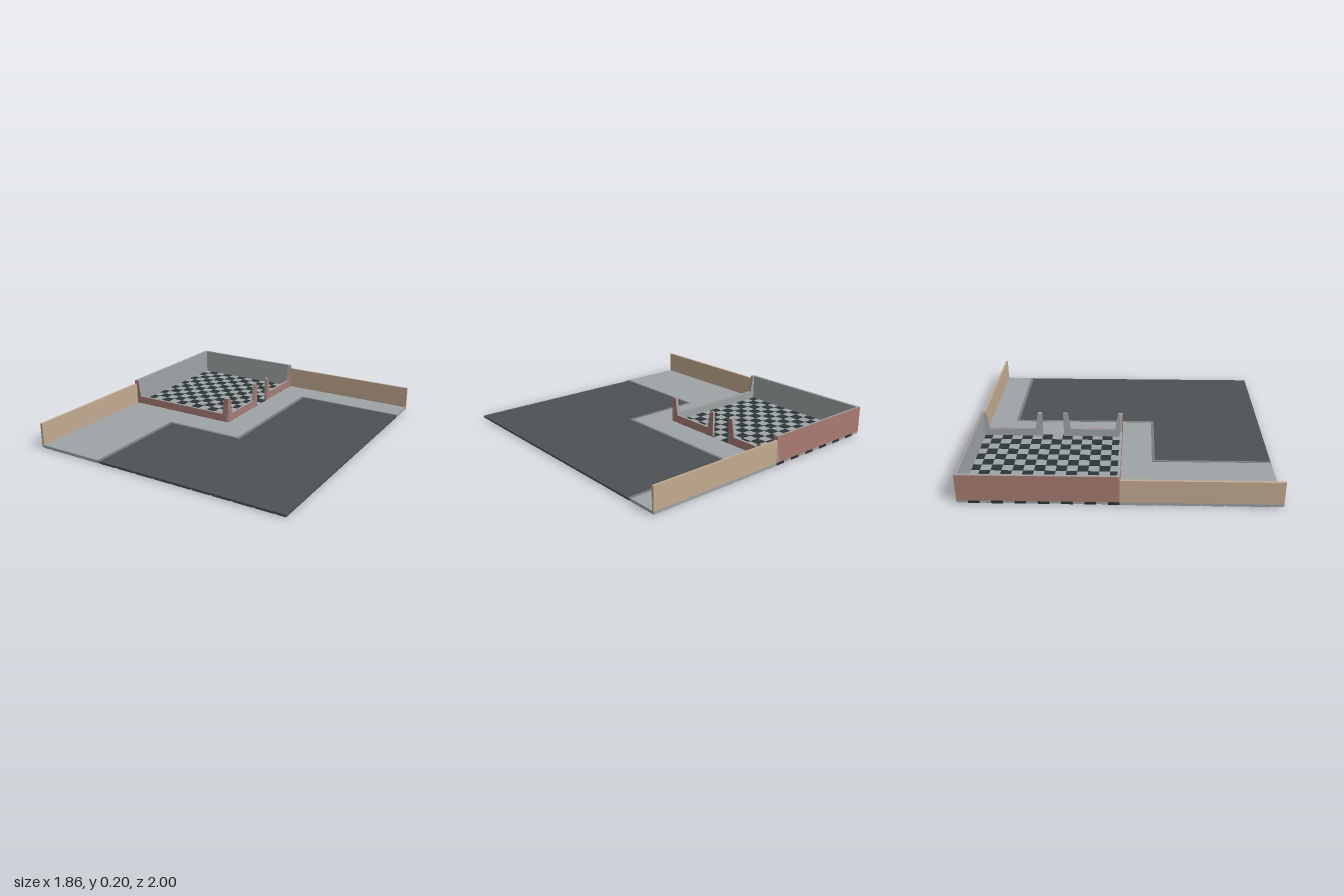
import * as THREE from 'three';

const CELL = 1 / 14, X0 = -13 / 14, Z0 = -1;
const cx = i => X0 + i * CELL, cz = j => Z0 + j * CELL;

const mat = (name, color) => {
  const m = new THREE.MeshStandardMaterial({ color });
  m.name = name;
  return m;
};

export function createModel() {
  const model = new THREE.Group();
  const grey = mat('pale grey', 0x9ea3a5);
  const kerbGrey = mat('kerb grey', 0x7a7e80);
  const roadGrey = mat('road grey', 0x4d5155);
  const dark = mat('dark tile', 0x2c3535);
  const brick = mat('dusty brick', 0xa87b73);
  const tan = mat('tan', 0xc3ab91);

  const add = (name, geo, material, parent = model) => {
    const m = new THREE.Mesh(geo, material);
    m.name = name;
    parent.add(m);
    return m;
  };
  // Box given by its two extreme corners
  const box = (name, x0, x1, y0, y1, z0, z1, material, parent) => {
    const m = add(name, new THREE.BoxGeometry(x1 - x0, y1 - y0, z1 - z0), material, parent);
    m.position.set((x0 + x1) / 2, (y0 + y1) / 2, (z0 + z1) / 2);
    return m;
  };
  // Box whose bottom is drawn in, for the underside tiles
  const taperedBox = (name, x0, x1, y0, y1, z0, z1, k, material, parent) => {
    const m = box(name, x0, x1, y0, y1, z0, z1, material, parent);
    const p = m.geometry.attributes.position;
    for (let i = 0; i < p.count; i++) {
      if (p.getY(i) < 0) p.setXYZ(i, p.getX(i) * k, p.getY(i), p.getZ(i) * k);
    }
    m.geometry.computeVertexNormals();
  };

  // Ground slabs: pavement, road and house floor
  const xE = 13 / 14, xa = cx(7), xb = cx(12), xc = cx(15), za = cz(3), zb = cz(17);
  const ground = new THREE.Group();
  ground.name = 'ground';
  model.add(ground);
  const P = 0.024, B = 0.008;
  box('pavementBack', xb, xE, B, P, -1, za, grey, ground);
  box('pavementMiddle', xb, xc, B, P, za, 0, grey, ground);
  box('pavementFront', X0, xc, B, P, 0, zb, grey, ground);
  box('pavementSide', X0, xa, B, P, zb, 1, grey, ground);
  box('roadBack', xc, xE, B, 0.02, za, zb, roadGrey, ground);
  box('roadFront', xa, xE, B, 0.02, zb, 1, roadGrey, ground);
  box('houseFloor', X0 + 0.002, xb, B, P, -0.998, 0, grey, ground);

  // Kerb strips along the edge of the road
  const k = 0.01, K = 0.0255;
  box('kerbBack', xc - k, xE, 0.012, K, za - k, za + k, kerbGrey);
  box('kerbMiddle', xc - k, xc + k, 0.012, K, za + k, zb + k, kerbGrey);
  box('kerbFront', xa - k, xc - k, 0.012, K, zb - k, zb + k, kerbGrey);
  box('kerbSide', xa - k, xa + k, 0.012, K, zb + k, 1, kerbGrey);

  // Underside tiles of pavement and road, two cells wide
  const tiles = new THREE.Group();
  tiles.name = 'undersideTiles';
  model.add(tiles);
  const steps = n => {
    const e = [0];
    for (let i = 1; i < n; i += 2) e.push(i);
    return [...e, n];
  };
  const ex = steps(26), ez = steps(28), g = 0.006;
  for (let i = 0; i < ex.length - 1; i++) {
    for (let j = 0; j < ez.length - 1; j++) {
      const mx = (ex[i] + ex[i + 1]) / 2, mz = (ez[j] + ez[j + 1]) / 2;
      if (mx < 12 && mz < 14) continue;
      const isRoad = (mx > 15 && mz > 3) || (mx > 7 && mz > 17);
      taperedBox('undersideTile', cx(ex[i]) + g, cx(ex[i + 1]) - g, 0, B + 0.001,
        cz(ez[j]) + g, cz(ez[j + 1]) - g, 0.96, isRoad ? roadGrey : grey, tiles);
    }
  }

  // Chequered house floor
  const floor = new THREE.Group();
  floor.name = 'chequeredFloor';
  model.add(floor);
  for (let i = 0; i < 12; i++) {
    for (let j = 0; j < 14; j++) {
      const x0 = cx(i), x1 = cx(i + 1), z0 = cz(j), z1 = cz(j + 1);
      if ((i + j) % 2) {
        box('darkTile', x0, x1, 0.006, 0.0252, z0, z1, dark, floor);
        taperedBox('darkStud', x0 + 0.01, x1 - 0.01, 0, 0.007, z0 + 0.01, z1 - 0.01, 0.8, dark, floor);
      } else {
        taperedBox('paleStud', x0 + g, x1 - g, 0.003, B + 0.001, z0 + g, z1 - g, 0.9, grey, floor);
      }
    }
  }

  // House walls: grey core with a thin brick skin outside
  const Y0 = 0.0245, TOP = 0.204, SILL = 0.08;
  const wall = (points, depth) => new THREE.ExtrudeGeometry(
    new THREE.Shape(points.map(p => new THREE.Vector2(...p))), { depth, bevelEnabled: false });

  // Low wall with tall, tapering ends
  const lowWall = (a, b, endA, endB) => [
    [a, Y0], [b, Y0], [b, TOP], [b - endB, TOP], [b - endB - 0.02, SILL],
    [a + endA + 0.02, SILL], [a + endA, TOP], [a, TOP]];

  const front = lowWall(X0, xb, 0.032, 0.032);
  add('frontWallCore', wall(front, 0.016), grey).position.z = -0.019;
  add('frontWallBrick', wall(front, 0.003), brick).position.z = -0.003;

  // Side wall in two pieces with a doorway between
  for (const pts of [lowWall(-1, -0.57, 0.032, 0.03), lowWall(-0.42, 0, 0.03, 0.032)]) {
    add('doorWallCore', wall(pts, 0.016).rotateY(-Math.PI / 2), grey).position.x = xb - 0.003;
    add('doorWallBrick', wall(pts, 0.003).rotateY(-Math.PI / 2), brick).position.x = xb;
  }

  // Full-height walls
  box('backWallCore', X0 + 0.003, xb, Y0, TOP, -0.997, -0.984, grey);
  box('backWallBrick', X0, xb, Y0, TOP, -1, -0.997, brick);
  box('outerWallCore', X0 + 0.003, X0 + 0.02, Y0, TOP, -0.984, -0.019, grey);
  box('outerWallBrick', X0, X0 + 0.003, Y0, TOP, -0.997, 0, brick);

  // Tan boundary walls
  box('boundaryBack', xb, xE, P, 0.178, -1, -0.985, tan);
  box('boundarySide', X0, X0 + 0.018, P, 0.178, 0, 1, tan);

  return model;
}
